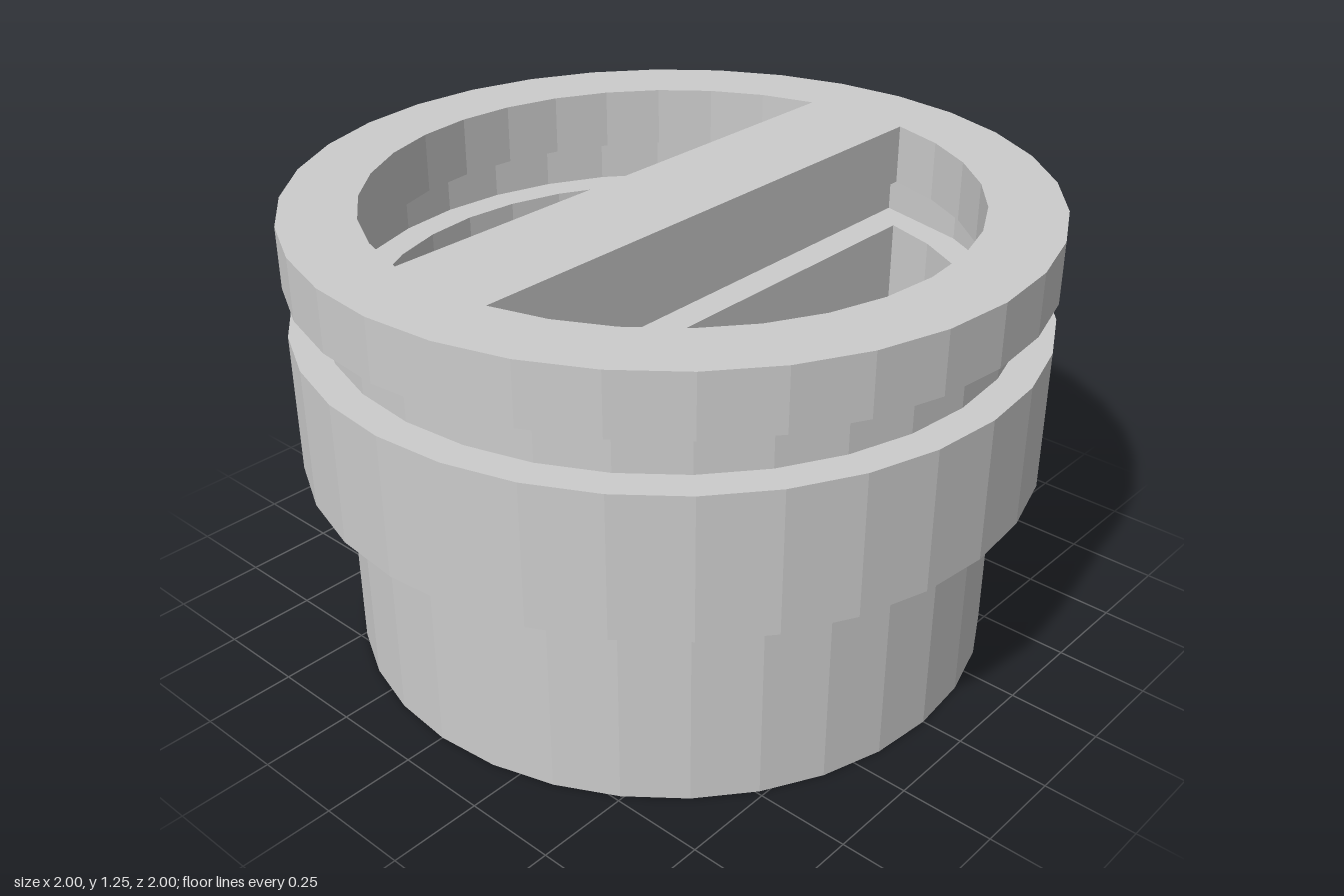
import * as THREE from 'three';

const SIDES = 32;
const STEP = (Math.PI * 2) / SIDES;
const GROOVE = 0.088; // depth of the groove, outside and inside
const FLOOR = 0.565, LOW = 0.95, HIGH = 1.085, TOP = 1.25;

const material = new THREE.MeshStandardMaterial({
  color: 0xcccccc, flatShading: true, side: THREE.DoubleSide,
});

function add(parent, name, geometry) {
  const mesh = new THREE.Mesh(geometry, material);
  mesh.name = name;
  parent.add(mesh);
  return mesh;
}

// Half-disc outline in x/z, widened by the given offset
function pocketLoop(offset) {
  const r = 0.8 + offset;
  const edge = 0.8 * Math.sin(STEP) - offset;
  const corner = Math.sqrt(r * r - edge * edge);
  const loop = [new THREE.Vector2(corner, edge)];
  for (let k = 2; k <= SIDES / 2 - 2; k++) {
    loop.push(new THREE.Vector2(r * Math.cos(k * STEP), r * Math.sin(k * STEP)));
  }
  loop.push(new THREE.Vector2(-corner, edge));
  return loop;
}

// Skin between stacked closed loops, listed from the top down
function loft(levels) {
  const positions = [], index = [];
  const n = levels[0].loop.length;
  for (const { loop, y } of levels) for (const p of loop) positions.push(p.x, y, p.y);
  for (let i = 0; i < levels.length - 1; i++) {
    for (let k = 0; k < n; k++) {
      const a = i * n + k, b = i * n + (k + 1) % n;
      index.push(a, a + n, b, b, a + n, b + n);
    }
  }
  const geometry = new THREE.BufferGeometry();
  geometry.setAttribute('position', new THREE.Float32BufferAttribute(positions, 3));
  geometry.setIndex(index);
  geometry.computeVertexNormals();
  return geometry;
}

// Horizontal face pointing up at height y
function flatFace(shape, y) {
  return new THREE.ShapeGeometry(shape).rotateX(-Math.PI / 2).translate(0, y, 0);
}

export function createModel() {
  const group = new THREE.Group();
  group.name = 'slottedCap';

  // Open lower tube, wide collar, groove and top rim in one thin skin
  const profile = [
    [0.885, 0], [0.885, FLOOR], [1, FLOOR], [1, LOW],
    [1 - GROOVE, LOW], [1 - GROOVE, HIGH], [1, HIGH], [1, TOP],
  ].map(([r, y]) => new THREE.Vector2(r, y));
  add(group, 'outerShell', new THREE.LatheGeometry(profile, SIDES));

  // Top face: a disc with two half-disc openings, leaving the grip bar
  const disc = [];
  for (let k = 0; k < SIDES; k++) {
    disc.push(new THREE.Vector2(Math.cos(k * STEP), Math.sin(k * STEP)));
  }
  const narrow = pocketLoop(0), wide = pocketLoop(GROOVE);
  const top = new THREE.Shape(disc);
  for (const s of [1, -1]) {
    top.holes.push(new THREE.Path(narrow.map((p) => new THREE.Vector2(p.x * s, p.y * s))));
  }
  add(group, 'topFace', flatFace(top, TOP));

  // Two closed pockets, each undercut at the level of the groove
  const walls = loft([
    { loop: narrow, y: TOP }, { loop: narrow, y: HIGH },
    { loop: wide, y: HIGH }, { loop: wide, y: LOW },
    { loop: narrow, y: LOW }, { loop: narrow, y: FLOOR },
  ]);
  const floor = flatFace(new THREE.Shape(narrow.map((p) => new THREE.Vector2(p.x, -p.y))), FLOOR);
  for (const [name, turn] of [['frontPocket', 0], ['backPocket', Math.PI]]) {
    const pocket = new THREE.Group();
    pocket.name = name;
    pocket.rotation.y = turn;
    add(pocket, name + 'Walls', walls);
    add(pocket, name + 'Floor', floor);
    group.add(pocket);
  }
  return group;
}
